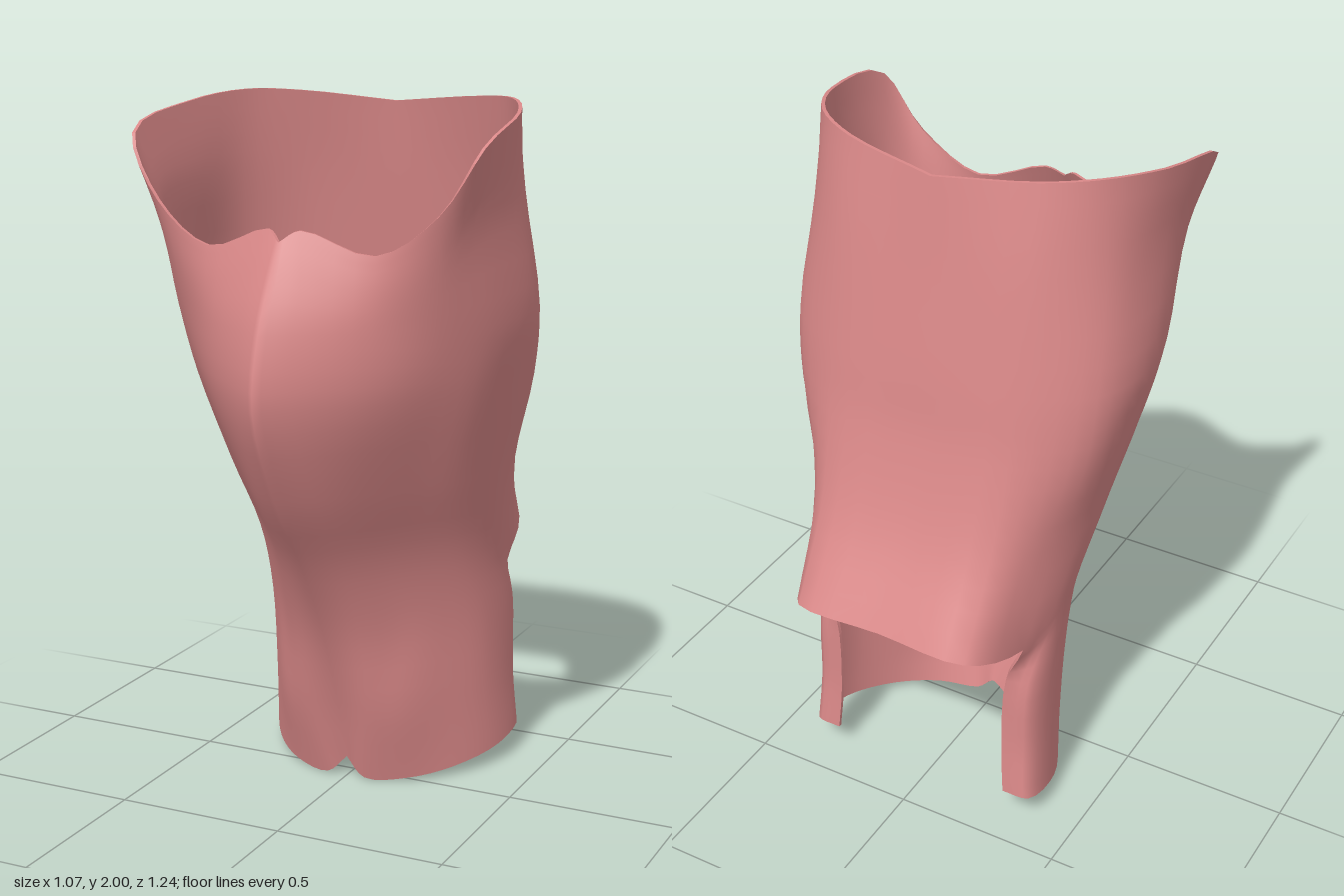
import * as THREE from 'three';

const STEPS = 4;        // subdivisions between control points
const THICKNESS = 0.01;

// One half cross-section, from front centre round the side to back centre.
const section = (y, x, z) =>
  x.map((v, i) => new THREE.Vector3(v, Array.isArray(y) ? y[i] : y, z[i]));

// Lower guard: open at the back, its edges curling inward at the seventh column
const lower = [
  section([0.06, 0.005, 0.01, 0.03, 0.06, 0.088, 0.09],
    [0, 0.06, 0.18, 0.29, 0.37, 0.365, 0.285], [0.055, 0.06, 0.02, -0.08, -0.24, -0.395, -0.405]),
  section(0.25,
    [0, 0.1, 0.185, 0.28, 0.36, 0.358, 0.275], [0.115, 0.125, 0.08, -0.05, -0.21, -0.375, -0.395]),
  section(0.5,
    [0, 0.1, 0.19, 0.275, 0.355, 0.36, 0.285], [0.215, 0.185, 0.09, -0.025, -0.165, -0.355, -0.39]),
];

// Upper guard: closed tube with flared back skirt, front ridge and sloping rim
const upper = [
  section([0.72, 0.72, 0.72, 0.72, 0.72, 0.7, 0.635, 0.7, 0.71],
    [0, 0.09, 0.18, 0.265, 0.34, 0.378, 0.34, 0.27, 0], [0.34, 0.285, 0.175, 0.06, -0.05, -0.21, -0.39, -0.595, -0.605]),
  section(0.95,
    [0, 0.09, 0.185, 0.285, 0.37, 0.42, 0.385, 0.27, 0], [0.5, 0.435, 0.325, 0.19, 0.07, -0.1, -0.29, -0.46, -0.48]),
  section(1.22,
    [0, 0.08, 0.23, 0.355, 0.445, 0.482, 0.45, 0.28, 0], [0.62, 0.555, 0.42, 0.265, 0.125, -0.07, -0.255, -0.38, -0.4]),
  section(1.42,
    [0, 0.08, 0.25, 0.395, 0.49, 0.518, 0.465, 0.28, 0], [0.585, 0.535, 0.42, 0.295, 0.14, -0.07, -0.23, -0.345, -0.37]),
  section([1.58, 1.57, 1.53, 1.6, 1.72, 1.75, 1.75, 1.75, 1.75],
    [0, 0.07, 0.25, 0.41, 0.488, 0.495, 0.445, 0.28, 0], [0.505, 0.48, 0.415, 0.34, 0.24, 0.02, -0.16, -0.285, -0.315]),
  section([1.65, 1.68, 1.62, 1.73, 1.905, 1.975, 2, 1.995, 1.97],
    [0, 0.05, 0.25, 0.42, 0.526, 0.51, 0.42, 0.28, 0], [0.465, 0.435, 0.402, 0.375, 0.325, 0.04, -0.14, -0.23, -0.285]),
];

const smooth = pts => new THREE.CatmullRomCurve3(pts).getPoints((pts.length - 1) * STEPS);

// Smooth mirrored grid; returns positions and outward triangles
function guardSurface() {
  const rows = [...lower, ...upper].map(smooth);
  const last = rows.at(-1).length - 1, cut = rows[0].length - 1;
  const skirtRow = lower.length * STEPS;
  const columns = rows.at(-1).map((_, c) => {
    const present = rows.filter(r => c < r.length).map(r => r[c]);
    return { start: c > cut ? skirtRow : 0, points: smooth(present) };
  });

  const positions = [], ids = new Map();
  const vertex = (r, c) => {
    if (c === -last) c = last;
    const key = r + ',' + c;
    if (!ids.has(key)) {
      const col = columns[Math.abs(c)], p = col.points[r - col.start];
      ids.set(key, positions.length / 3);
      positions.push(c < 0 ? -p.x : p.x, p.y, p.z);
    }
    return ids.get(key);
  };

  const index = [], top = (rows.length - 1) * STEPS;
  for (let r = 0; r < top; r++) {
    const span = r < skirtRow ? cut : last;
    for (let c = -span; c < span; c++) {
      const a = vertex(r, c), b = vertex(r, c + 1), d = vertex(r + 1, c + 1), e = vertex(r + 1, c);
      // Mirror the diagonal with the side
      if (c < 0) index.push(a, b, e, b, d, e);
      else index.push(a, b, d, a, d, e);
    }
  }
  return { positions, index };
}

function geometryFrom(positions, index) {
  const g = new THREE.BufferGeometry();
  g.setAttribute('position', new THREE.Float32BufferAttribute(positions, 3));
  if (index) g.setIndex(index);
  g.computeVertexNormals();
  return g;
}

export function createModel() {
  const model = new THREE.Group();
  model.name = 'limbGuard';
  const material = new THREE.MeshStandardMaterial({ color: 0xd98888 });
  material.name = 'rosePink';
  const add = (name, geometry) => {
    const mesh = new THREE.Mesh(geometry, material);
    mesh.name = name;
    model.add(mesh);
  };

  // Outer shell
  const { positions, index } = guardSurface();
  const outer = geometryFrom(positions, index);
  add('outerShell', outer);

  // Inner lining, offset inward and turned to face inside
  const normals = outer.attributes.normal.array;
  const inside = positions.map((v, i) => v - normals[i] * (i % 3 === 1 ? 0 : THICKNESS));
  add('innerLining', geometryFrom(inside, [...index].reverse()));

  // Rim strip closing every open edge between shell and lining
  const edges = new Set();
  for (let i = 0; i < index.length; i += 3)
    for (let k = 0; k < 3; k++) edges.add(index[i + k] + ',' + index[i + (k + 1) % 3]);
  const rim = [];
  const at = (list, i) => list.slice(i * 3, i * 3 + 3);
  for (const edge of edges) {
    const [a, b] = edge.split(',').map(Number);
    if (edges.has(b + ',' + a)) continue;
    const A = at(positions, a), B = at(positions, b), C = at(inside, a), D = at(inside, b);
    rim.push(...B, ...A, ...C, ...B, ...C, ...D);
  }
  add('rimEdge', geometryFrom(rim));
  return model;
}
